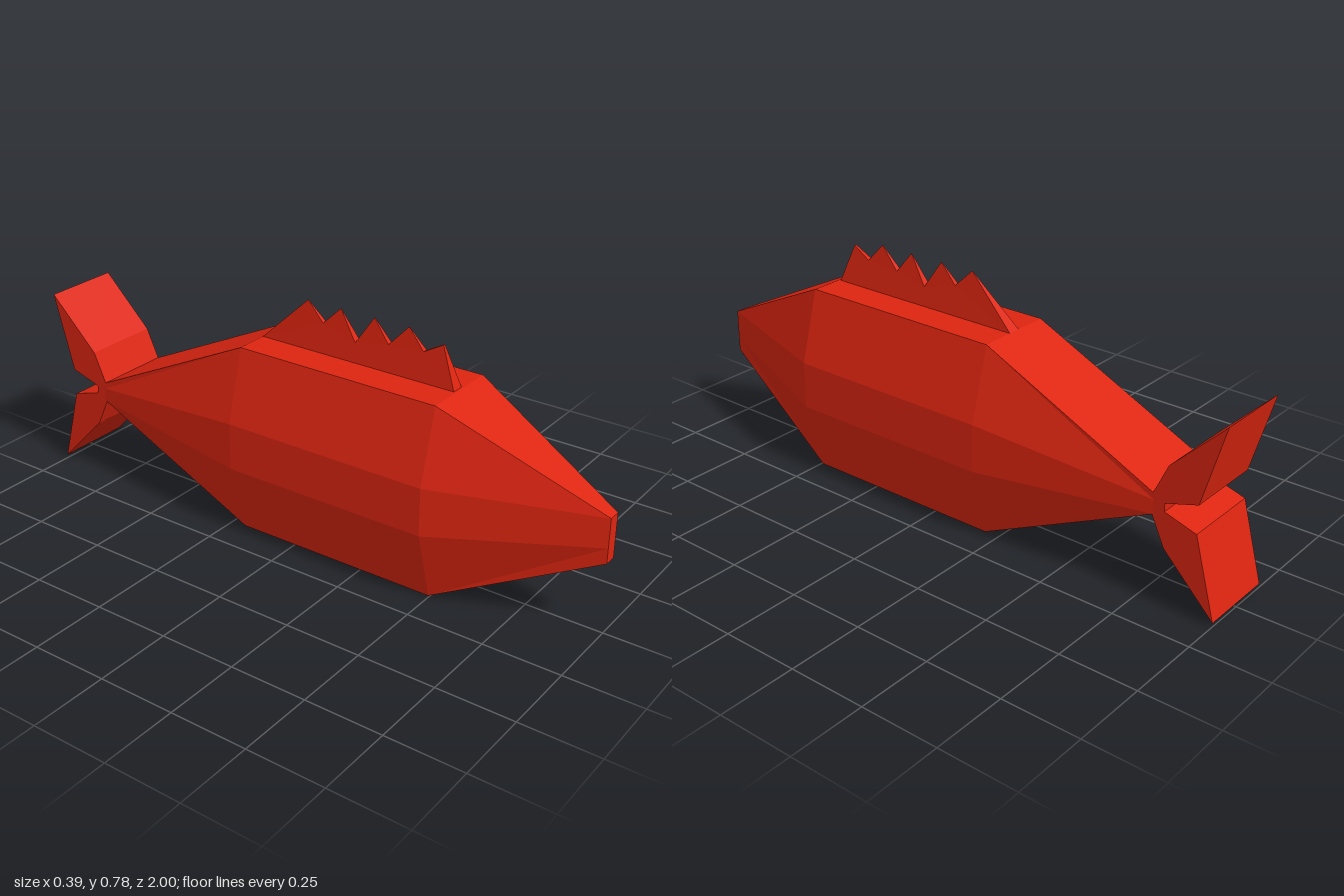
import * as THREE from 'three';

const red = new THREE.MeshStandardMaterial({ color: 0xdd2510, flatShading: true });
red.name = 'red';

// Eight-sided cross-section: edge half-width, side half-width and four heights
function ring(z, wEdge, wSide, [y0, y1, y2, y3]) {
  const right = [[wEdge, y0], [wSide, y1], [wSide, y2], [wEdge, y3]];
  const left = right.map(([x, y]) => [-x, y]).reverse();
  return [...right, ...left].map(([x, y]) => [x, y, z]);
}

// Skin the rings from nose to tail and cap both ends
function loft(rings) {
  const n = 8, pos = rings.flat(2), index = [];
  for (let r = 0; r < rings.length - 1; r++) {
    for (let i = 0; i < n; i++) {
      const j = (i + 1) % n;
      const a = r * n + i, b = r * n + j, c = b + n, d = a + n;
      if (i < 4) index.push(a, d, b, b, d, c);
      else index.push(a, d, c, a, c, b);
    }
  }
  const last = (rings.length - 1) * n;
  for (let i = 1; i < n - 1; i++) {
    index.push(0, i, i + 1);
    index.push(last, last + i + 1, last + i);
  }
  const g = new THREE.BufferGeometry();
  g.setAttribute('position', new THREE.Float32BufferAttribute(pos, 3));
  g.setIndex(index);
  const flat = g.toNonIndexed();
  flat.computeVertexNormals();
  return flat;
}

// Extrude a side profile of [z, y] points across x, with a half-width depending on height
function sideExtrude(points, halfWidth) {
  const shape = new THREE.Shape(points.map(([z, y]) => new THREE.Vector2(z, y)));
  const g = new THREE.ExtrudeGeometry(shape, { depth: 2, bevelEnabled: false });
  g.translate(0, 0, -1);
  g.rotateY(-Math.PI / 2);
  const p = g.attributes.position;
  for (let i = 0; i < p.count; i++) p.setX(i, p.getX(i) * halfWidth(p.getY(i)));
  g.computeVertexNormals();
  return g;
}

export function createModel() {
  const group = new THREE.Group();
  group.name = 'fish';
  const add = (name, geometry) => {
    const mesh = new THREE.Mesh(geometry, red);
    mesh.name = name;
    group.add(mesh);
  };

  // Body: blunt narrow nose, straight middle, wide flat tail root
  const middle = [0, 0.235, 0.39, 0.624];
  add('body', loft([
    ring(1, 0.021, 0.021, [0.24, 0.29, 0.335, 0.385]),
    ring(0.495, 0.13, 0.195, middle),
    ring(-0.2, 0.13, 0.195, middle),
    ring(-0.79, 0.13, 0.13, [0.28, 0.3, 0.325, 0.345]),
  ]));

  // Back fin: jagged crest that thins to a sharp ridge
  const top = 0.776, base = 0.624;
  add('backFin', sideExtrude([
    [0.488, base], [0.438, 0.75], [0.375, 0.715], [0.32, top], [0.255, 0.707], [0.2, top],
    [0.14, 0.685], [0.08, top], [0.02, 0.717], [-0.04, top], [-0.2, base],
  ], y => Math.max(0.0005, 0.021 * (top - y) / (top - base))));

  // Tail fin: two swept lobes with a notch between them
  add('tailFin', sideExtrude([
    [-0.785, 0.345], [-0.83, 0.445], [-1, 0.613], [-0.93, 0.358], [-0.825, 0.326],
    [-0.825, 0.3], [-0.93, 0.268], [-1, 0.012], [-0.83, 0.185], [-0.785, 0.28],
  ], () => 0.13));

  return group;
}
